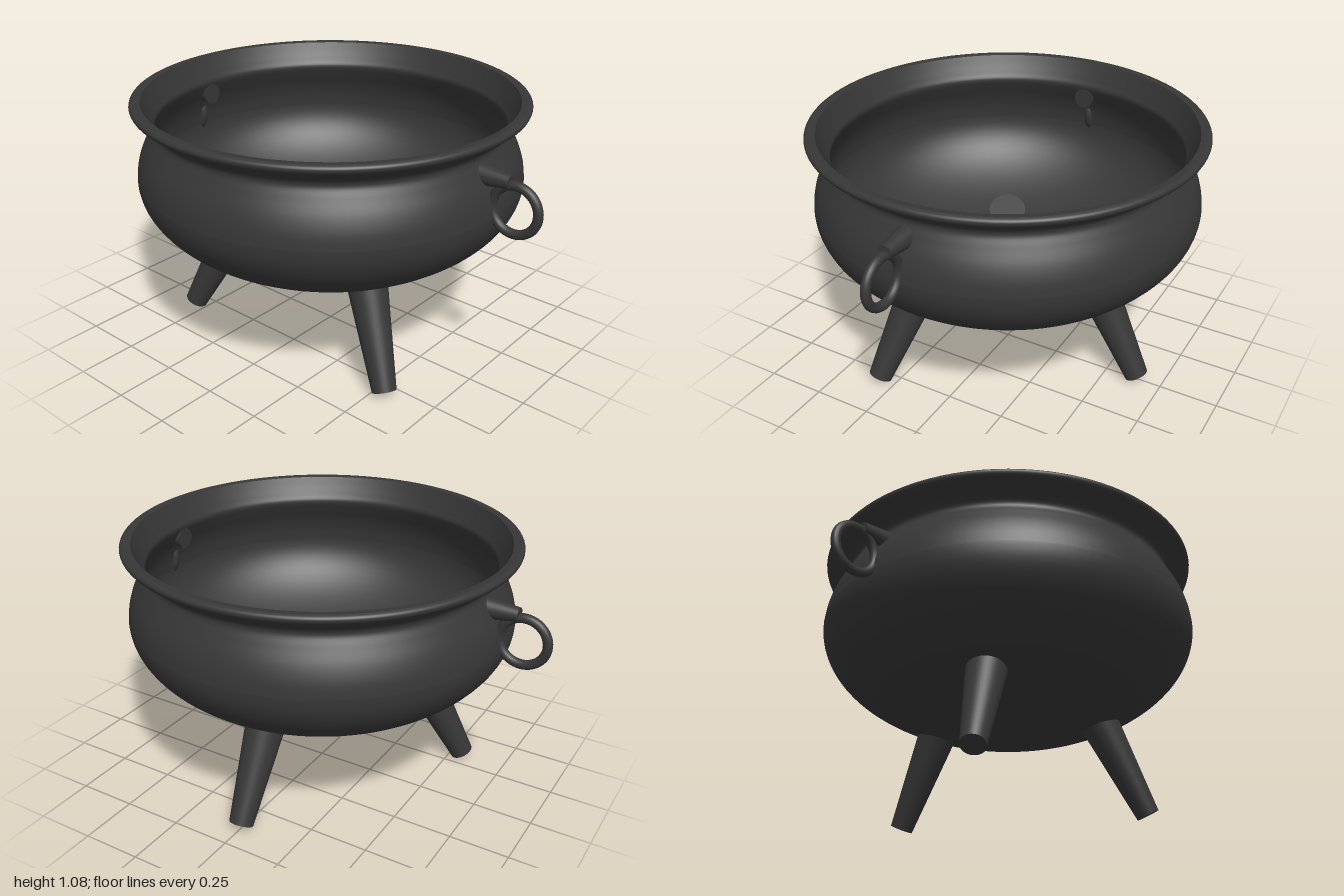
import * as THREE from 'three';

const V2 = (x, y) => new THREE.Vector2(x, y);

// Lower half of the bowl: quarter ellipse from the bottom centre to the widest ring
function bowlCurve(radius, depth, centreY) {
  const pts = [];
  for (let i = 0; i <= 24; i++) {
    const a = (i / 24) * Math.PI / 2;
    pts.push(V2(radius * Math.sin(a), centreY - depth * Math.cos(a)));
  }
  return pts;
}

// Smooth curve through a few profile points
const smooth = (pts, n) => new THREE.SplineCurve(pts.map(p => V2(...p))).getPoints(n);

export function createModel() {
  const model = new THREE.Group();
  const iron = new THREE.MeshStandardMaterial({ color: 0x373737 });
  iron.name = 'dark iron';

  const add = (name, geometry, parent = model) => {
    const mesh = new THREE.Mesh(geometry, iron);
    mesh.name = name;
    parent.add(mesh);
    return mesh;
  };
  const lathe = (name, pts) => add(name, new THREE.LatheGeometry(pts, 96));

  // Outer wall: round belly, narrow neck, flared lip
  const upper = smooth([[0.805, 0.75], [0.797, 0.81], [0.777, 0.87], [0.746, 0.93], [0.727, 0.97],
    [0.742, 1.0], [0.785, 1.03], [0.808, 1.048], [0.815, 1.063], [0.81, 1.074], [0.798, 1.08]], 50);
  lathe('outerWall', [...bowlCurve(0.805, 0.41, 0.75), ...upper.slice(1)]);

  // Rim and the funnel inside it
  lathe('rimTop', [V2(0.798, 1.08), V2(0.77, 1.077)]);
  const funnel = smooth([[0.77, 1.077], [0.753, 1.04], [0.733, 1.0], [0.72, 0.97],
    [0.736, 0.93], [0.767, 0.87], [0.787, 0.81], [0.795, 0.75]], 32);
  lathe('innerWall', [...funnel, ...bowlCurve(0.795, 0.4, 0.75).reverse().slice(1)]);

  // Three splayed, tapered legs whose tops come through the bowl floor
  const legTop = new THREE.Vector3(0, 0.43, -0.425);
  const legFoot = new THREE.Vector3(0, 0.025, -0.638);
  const axis = legTop.clone().sub(legFoot);
  for (let i = 0; i < 3; i++) {
    const pivot = new THREE.Group();
    pivot.name = ['backLeg', 'leftLeg', 'rightLeg'][i];
    pivot.rotation.y = [0, -1, 1][i] * Math.PI * 2 / 3;
    const leg = add('legShaft', new THREE.CylinderGeometry(0.085, 0.05, axis.length(), 40), pivot);
    leg.position.copy(legTop).add(legFoot).multiplyScalar(0.5);
    leg.quaternion.setFromUnitVectors(new THREE.Vector3(0, 1, 0), axis.clone().normalize());
    model.add(pivot);
  }

  // Side handles: a tapered peg with a ring hanging from it
  for (const side of [1, -1]) {
    const handle = new THREE.Group();
    handle.name = side > 0 ? 'leftHandle' : 'rightHandle';
    handle.rotation.y = side > 0 ? 0 : Math.PI;
    const peg = add('peg', new THREE.CylinderGeometry(0.028, 0.045, 0.14, 32), handle);
    peg.rotation.z = -Math.PI / 2;
    peg.position.set(0.79, 0.913, 0);
    const ring = add('ring', new THREE.TorusGeometry(0.096, 0.019, 16, 48), handle);
    ring.position.set(0.885, 0.808, 0);
    model.add(handle);
  }

  return model;
}
